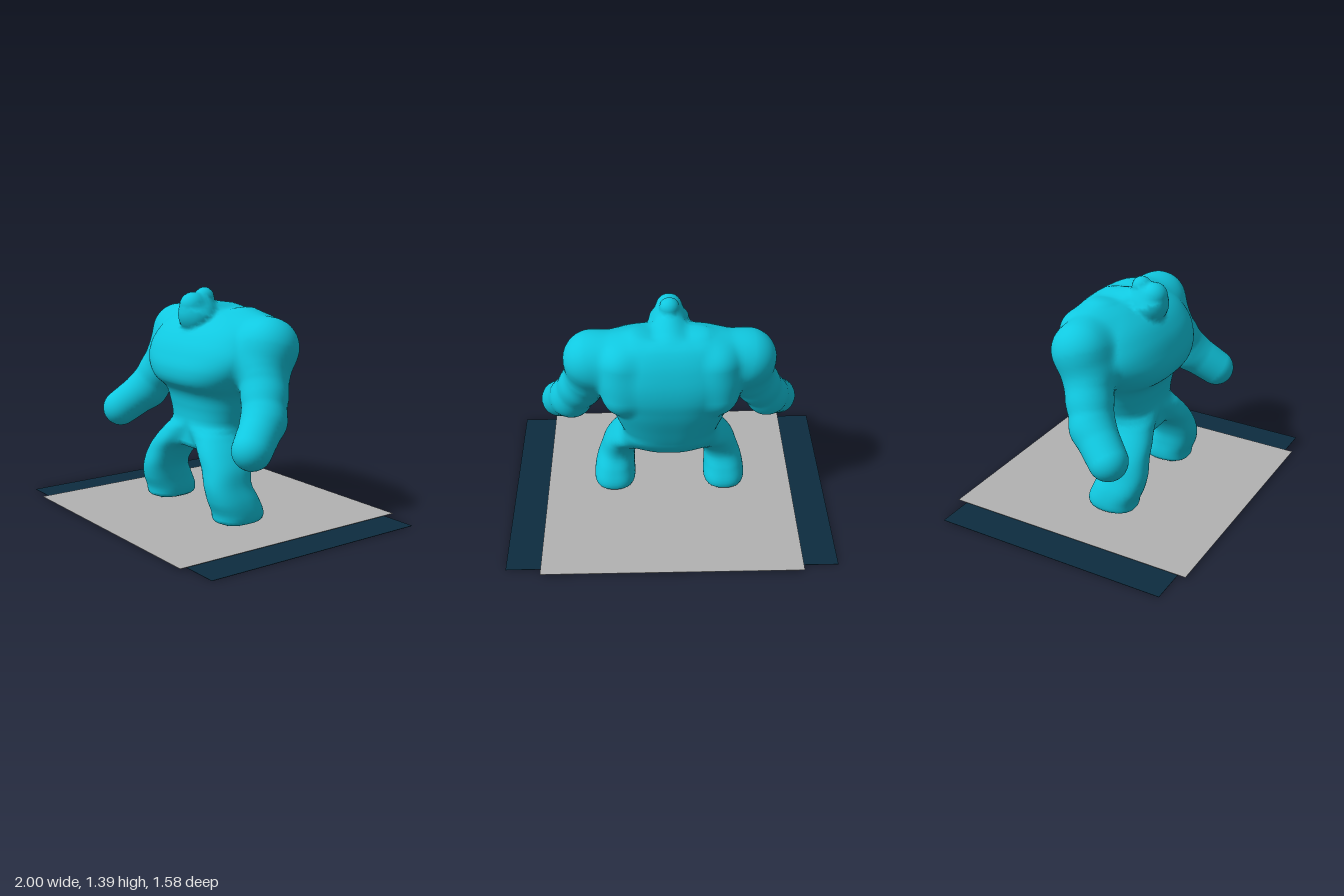
import * as THREE from 'three';

const skin = new THREE.MeshStandardMaterial({ name: 'turquoise skin', color: 0x10c8e0 });
const slate = new THREE.MeshStandardMaterial({ name: 'grey slab', color: 0xb2b2b2 });
const navy = new THREE.MeshStandardMaterial({ name: 'navy mat', color: 0x0d2c40 });

// Smooth union and smooth intersection of distances
const blend = (a, b, k) => {
  const h = Math.max(k - Math.abs(a - b), 0) / k;
  return Math.min(a, b) - h * h * k / 4;
};
const clip = (a, b, k) => -blend(-a, -b, k);

// Solid of horizontal oval sections; rows are [y, centre x, half width, centre z, half depth]
function sections(rows, power) {
  const ys = rows.map(r => r[0]);
  const curve = new THREE.CubicInterpolant(new Float32Array(ys), new Float32Array(rows.flatMap(r => r.slice(1))), 4);
  const low = ys[0], high = ys[ys.length - 1];
  return (x, y, z) => {
    const [cx, rx, cz, rz] = curve.evaluate(Math.min(Math.max(y, low), high));
    const q = Math.pow(Math.abs((x - cx) / rx), power) + Math.pow(Math.abs((z - cz) / rz), power);
    const side = (Math.pow(q, 1 / power) - 1) * Math.min(rx, rz);
    return clip(side, Math.max(y - high, low - y), 0.035);
  };
}

// Chain of rounded, tapering links; points are [x, y, z, radius]
function chain(points, k) {
  return (x, y, z) => {
    let d = Infinity;
    for (let i = 0; i + 1 < points.length; i++) {
      const [ax, ay, az, ar] = points[i], [bx, by, bz, br] = points[i + 1];
      const ux = bx - ax, uy = by - ay, uz = bz - az;
      const dot = (x - ax) * ux + (y - ay) * uy + (z - az) * uz;
      const t = Math.min(1, Math.max(0, dot / (ux * ux + uy * uy + uz * uz)));
      const link = Math.hypot(x - ax - t * ux, y - ay - t * uy, z - az - t * uz) - ar - t * (br - ar);
      d = i ? blend(d, link, k) : link;
    }
    return d;
  };
}

// Torso: narrow hips, overhanging chest, rounded back
const trunk = sections([
  [0.415, 0, 0.22, 0.015, 0.185], [0.5, 0, 0.265, -0.018, 0.218], [0.56, 0, 0.285, -0.03, 0.23],
  [0.67, 0, 0.325, -0.045, 0.25], [0.77, 0, 0.365, -0.045, 0.28], [0.83, 0, 0.4, -0.02, 0.318],
  [0.91, 0, 0.455, -0.017, 0.333], [1.0, 0, 0.49, -0.028, 0.318], [1.08, 0, 0.47, -0.04, 0.288],
  [1.16, 0, 0.42, -0.06, 0.238], [1.22, 0, 0.34, -0.085, 0.175], [1.26, 0, 0.22, -0.1, 0.12],
], 2.6);
const trapezius = chain([[0.2, 1.13, -0.1, 0.138], [0.455, 1.065, -0.07, 0.165]], 0.03);
const shoulderBlade = chain([[0.28, 1.1, -0.19, 0.12], [0.28, 0.9, -0.21, 0.12]], 0.03);
const neck = chain([[0, 1.18, -0.11, 0.108], [0, 1.22, 0.08, 0.1]], 0.03);
const torso = (x, y, z) => blend(
  blend(blend(trunk(x, y, z), trapezius(x, y, z), 0.05), shoulderBlade(x, y, z), 0.04),
  neck(x, y, z), 0.04);

// Head: round jaw, brow and pointed crown
const skull = chain([[0, 1.225, 0.108, 0.123], [0, 1.33, 0.067, 0.06]], 0.03);
const brow = chain([[0, 1.24, 0.15, 0.08], [0, 1.285, 0.15, 0.08]], 0.03);
const head = (x, y, z) => blend(skull(x, y, z), brow(x, y, z), 0.02);

// Arm from shoulder to clubbed fist
const arm = chain([
  [0.455, 1.065, -0.065, 0.165], [0.48, 0.92, -0.01, 0.147], [0.54, 0.81, 0.03, 0.133],
  [0.61, 0.68, 0.09, 0.128], [0.7, 0.55, 0.245, 0.116],
], 0.03);

// Leg from hip to flat foot
const leg = sections([
  [0.024, 0.355, 0.128, 0.08, 0.153], [0.08, 0.355, 0.132, 0.08, 0.156], [0.16, 0.35, 0.124, 0.11, 0.157],
  [0.25, 0.33, 0.112, 0.135, 0.147], [0.35, 0.29, 0.12, 0.112, 0.157], [0.43, 0.23, 0.132, 0.07, 0.185],
  [0.54, 0.14, 0.14, 0.01, 0.2],
], 2.4);

const parts = [torso, head, arm, leg];
const field = (x, y, z) => {
  const ax = Math.abs(x);
  let d = blend(torso(ax, y, z), arm(ax, y, z), 0.05);
  d = blend(d, leg(ax, y, z), 0.06);
  return blend(d, head(ax, y, z), 0.025);
};

// Skins the blended solid with quads, sorted by body part
function buildBody() {
  const cell = 0.022, origin = [-0.88, -0.042, -0.43], size = [81, 68, 40];
  const step = [1, size[0], size[0] * size[1]];
  const at = (i, a) => origin[a] + i * cell;
  const values = new Float32Array(size[0] * size[1] * size[2]);
  const eachCell = (visit) => {
    for (let k = 0; k < size[2]; k++)
      for (let j = 0; j < size[1]; j++)
        for (let i = 0; i < size[0]; i++) visit([i, j, k], i + j * step[1] + k * step[2]);
  };
  eachCell(([i, j, k], n) => { values[n] = field(at(i, 0), at(j, 1), at(k, 2)); });

  // One vertex in each cell that the surface crosses
  const verts = new Map();
  eachCell((c, n) => {
    if (c.some((v, a) => v >= size[a] - 1)) return;
    const sum = [0, 0, 0];
    let count = 0;
    for (let corner = 0; corner < 8; corner++) {
      for (let a = 0; a < 3; a++) {
        if (corner >> a & 1) continue;
        const off = [corner & 1, corner >> 1 & 1, corner >> 2 & 1];
        const m = n + off[0] + off[1] * step[1] + off[2] * step[2];
        const v0 = values[m], v1 = values[m + step[a]];
        if (v0 < 0 === v1 < 0) continue;
        off[a] += v0 / (v0 - v1);
        off.forEach((o, b) => { sum[b] += o; });
        count++;
      }
    }
    if (!count) return;
    const p = new THREE.Vector3(...sum.map((s, a) => at(c[a] + s / count, a)));
    const e = 0.006;
    const slope = new THREE.Vector3(
      field(p.x + e, p.y, p.z) - field(p.x - e, p.y, p.z),
      field(p.x, p.y + e, p.z) - field(p.x, p.y - e, p.z),
      field(p.x, p.y, p.z + e) - field(p.x, p.y, p.z - e)).divideScalar(2 * e);
    const steep = Math.max(slope.length(), 0.3);
    const normal = slope.normalize();
    const move = THREE.MathUtils.clamp(-field(p.x, p.y, p.z) / steep, -0.008, 0.008);
    verts.set(n, { p: p.addScaledVector(normal, move), normal });
  });

  // One quad around each grid edge that the surface crosses
  const buckets = {};
  eachCell((c, n) => {
    for (let a = 0; a < 3; a++) {
      if (c[a] >= size[a] - 1 || values[n] < 0 === values[n + step[a]] < 0) continue;
      const b = step[(a + 1) % 3], d = step[(a + 2) % 3];
      const quad = [n, n - b, n - b - d, n - d].map(m => verts.get(m));
      if (quad.includes(undefined)) continue;
      if (values[n] >= 0) quad.reverse();
      const mid = new THREE.Vector3();
      quad.forEach(v => mid.addScaledVector(v.p, 0.25));
      const near = parts.map(f => f(Math.abs(mid.x), mid.y, mid.z));
      const side = mid.x > 0 ? 'left' : 'right';
      const name = ['torso', 'head', side + 'Arm', side + 'Leg'][near.indexOf(Math.min(...near))];
      const bucket = buckets[name] ??= { position: [], normal: [] };
      for (const q of [0, 1, 2, 0, 2, 3]) {
        bucket.position.push(...quad[q].p.toArray());
        bucket.normal.push(...quad[q].normal.toArray());
      }
    }
  });

  const body = new THREE.Group();
  body.name = 'body';
  for (const [name, data] of Object.entries(buckets)) {
    const geometry = new THREE.BufferGeometry();
    for (const key of ['position', 'normal'])
      geometry.setAttribute(key, new THREE.Float32BufferAttribute(data[key], 3));
    const mesh = new THREE.Mesh(geometry, skin);
    mesh.name = name;
    body.add(mesh);
  }
  return body;
}

// Thin ground sheet
function sheet(name, width, depth, y, material) {
  const mesh = new THREE.Mesh(new THREE.BoxGeometry(width, 0.002, depth), material);
  mesh.name = name;
  mesh.position.y = y;
  return mesh;
}

export function createModel() {
  const model = new THREE.Group();
  model.name = 'hulkingCreature';
  model.add(buildBody());
  model.add(sheet('groundMat', 2, 1.474, 0.001, navy));
  model.add(sheet('groundSlab', 1.58, 1.58, 0.012, slate));
  return model;
}
